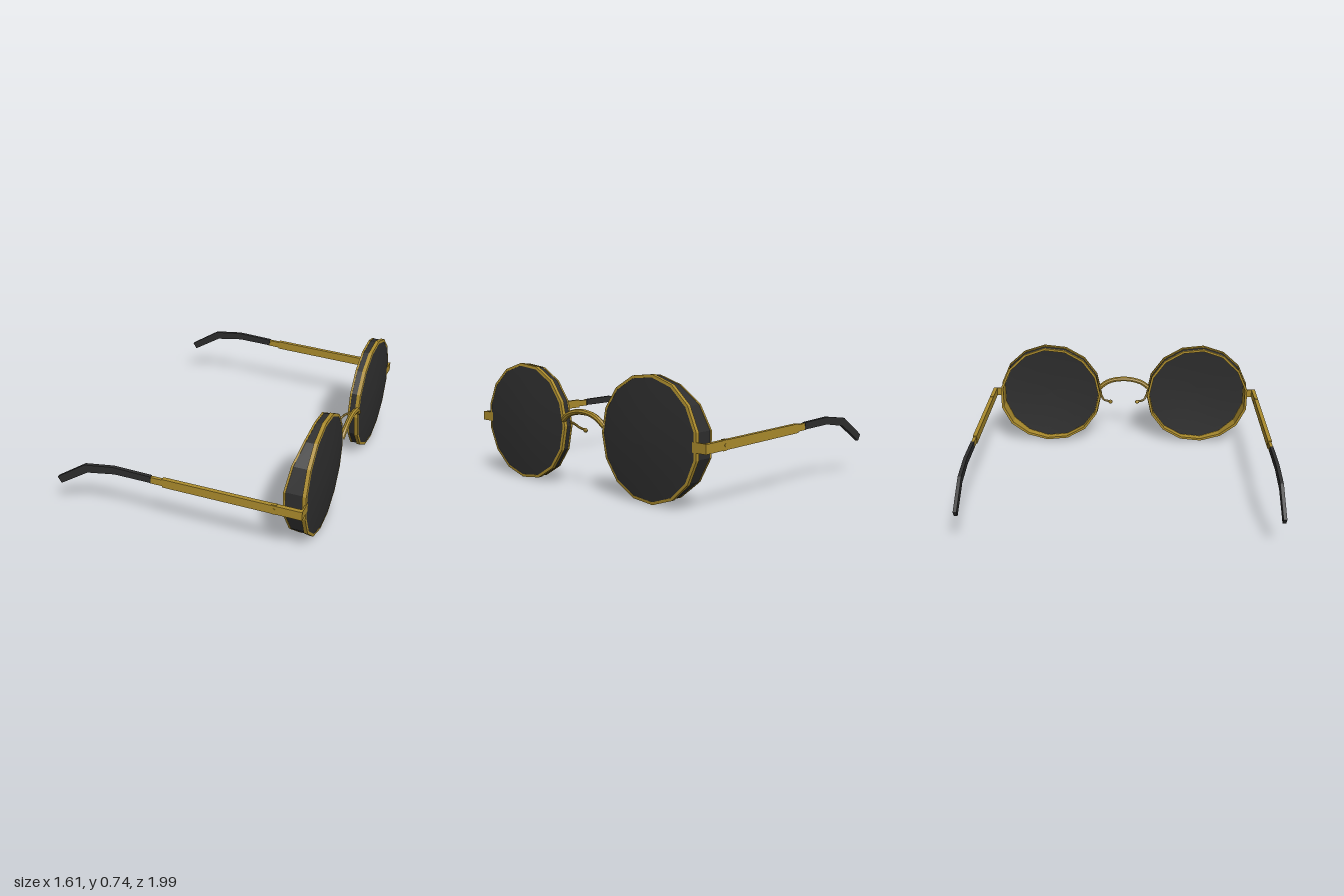
import * as THREE from 'three';

const SIDES = 15, CY = 0.385, CZ = 0.55;

export function createModel() {
  const gold = new THREE.MeshStandardMaterial({ color: 0xac8c2d, flatShading: true });
  gold.name = 'gold metal';
  const dark = new THREE.MeshStandardMaterial({ color: 0x2e2e2e });
  dark.name = 'dark lens and tips';
  dark.side = THREE.DoubleSide;

  const model = new THREE.Group();
  model.name = 'roundGlasses';

  const add = (parent, name, geo, mat, x = 0, y = 0, z = 0) => {
    const mesh = new THREE.Mesh(geo, mat);
    mesh.name = name;
    mesh.position.set(x, y, z);
    parent.add(mesh);
    return mesh;
  };

  // Sweeps a [radius, x] profile around the lens axis; m mirrors it, x may depend on the outward offset
  function loft(profile, m, closed, smooth) {
    const pos = [], idx = [], n = profile.length;
    for (const [r, x] of profile) {
      for (let j = 0; j < SIDES; j++) {
        const t = (j / SIDES) * Math.PI * 2, out = -r * Math.cos(t);
        pos.push(typeof x === 'function' ? x(out) : x, r * Math.sin(t), m * out);
      }
    }
    for (let i = 0; i < (closed ? n : n - 1); i++) {
      for (let j = 0; j < SIDES; j++) {
        const k = (j + 1) % SIDES, i2 = (i + 1) % n;
        const a = i * SIDES + j, b = i * SIDES + k, c = i2 * SIDES + j, d = i2 * SIDES + k;
        if (m > 0) idx.push(a, b, c, b, d, c);
        else idx.push(a, c, b, b, c, d);
      }
    }
    let g = new THREE.BufferGeometry();
    g.setAttribute('position', new THREE.Float32BufferAttribute(pos, 3));
    g.setIndex(idx);
    if (!smooth) g = g.toNonIndexed();
    g.computeVertexNormals();
    return g;
  }

  // Rear edge of the side shield, flaring backwards on the temple side
  const back = (s) => 0.70 - 0.07 * Math.pow(Math.max(0, (s - 0.1) / 0.27), 1.4);
  const backLip = (s) => back(s) + 0.012;

  const tube = (pts, r, seg) => new THREE.TubeGeometry(
    new THREE.CatmullRomCurve3(pts.map((p) => new THREE.Vector3(...p))), seg, r, 8, false);

  function buildLens(side, m) {
    const lens = new THREE.Group();
    lens.name = 'lensAssembly';
    lens.position.set(0, CY, m * CZ);
    side.add(lens);
    add(lens, 'rim', loft([[0.374, 0.747], [0.374, 0.77], [0.357, 0.772], [0.35, 0.747]], m, true), gold);
    add(lens, 'shieldLining', loft([[0.368, back], [0.368, backLip], [0.36, backLip],
      [0.36, 0.75], [0.352, 0.75], [0.352, back]], m, true), gold);
    add(lens, 'sideShield', loft([[0.366, backLip], [0.366, 0.748]], m, false), dark);
    // Slightly domed glass
    const radii = [0.358, 0.3, 0.2, 0.1, 0];
    const dome = (x) => radii.map((r) => [r, x + 0.022 * (1 - (r / 0.358) ** 2)]);
    add(lens, 'lensFront', loft(dome(0.771), m, false, true), dark);
    add(lens, 'lensBack', loft(dome(0.75).reverse(), m, false, true), dark);
  }

  function buildTemple(side, m) {
    const temple = new THREE.Group();
    temple.name = 'temple';
    temple.position.set(0.7, 0.382, m * 0.973);
    side.add(temple);
    const box = (name, x0, x1, h, d) =>
      add(temple, name, new THREE.BoxGeometry(x1 - x0, h, d), gold, (x0 + x1) / 2 - 0.7, 0, 0);
    box('templeArm', -0.085, 0.77, 0.056, 0.026);
    box('templeNeck', -0.17, -0.085, 0.042, 0.02);
    box('hinge', 0.59, 0.62, 0.064, 0.02);
    const screw = add(temple, 'hingeScrew', new THREE.CylinderGeometry(0.01, 0.01, 0.03, 8), gold, -0.095, 0, 0);
    screw.rotation.x = Math.PI / 2;

    // Bent ear tip
    const outline = [[-0.16, 0.407], [-0.41, 0.411], [-0.605, 0.38], [-0.805, 0.245],
      [-0.78, 0.205], [-0.587, 0.33], [-0.4, 0.364], [-0.16, 0.364]];
    const shape = new THREE.Shape(outline.map(([x, y]) => new THREE.Vector2(x - 0.7, y - 0.382)));
    const tip = new THREE.ExtrudeGeometry(shape, { depth: 0.022, bevelEnabled: false });
    add(temple, 'earTip', tip, dark, 0, 0, -0.011);
    return temple;
  }

  for (const m of [1, -1]) {
    const side = new THREE.Group();
    side.name = m > 0 ? 'nearHalf' : 'farHalf';
    side.position.z = 0.01;
    model.add(side);
    buildLens(side, m);
    const temple = buildTemple(side, m);
    add(side, 'endPiece', new THREE.BoxGeometry(0.009, 0.058, 0.116), gold, 0.768, 0.382, m * 0.928);

    // Nose pad arm and pad
    add(side, 'nosePadArm', tube([[0.72, 0.41, m * 0.185], [0.69, 0.395, m * 0.175],
      [0.665, 0.37, m * 0.155], [0.66, 0.36, m * 0.11]], 0.008, 12), gold);
    const pad = add(side, 'nosePad', new THREE.SphereGeometry(0.016, 8, 6), gold, 0.66, 0.357, m * 0.107);
    pad.scale.set(0.8, 0.9, 1);

    // The far half sits slightly splayed
    if (m < 0) {
      side.rotation.y = -0.027;
      temple.rotation.z = -0.02;
    }
  }

  // Arched bridge
  add(model, 'bridge', tube([[0.765, 0.425, 0.205], [0.77, 0.465, 0.15], [0.772, 0.487, 0.08],
    [0.773, 0.492, 0.02], [0.775, 0.485, -0.05], [0.775, 0.463, -0.11], [0.772, 0.42, -0.165]], 0.018, 20), gold);

  return model;
}
